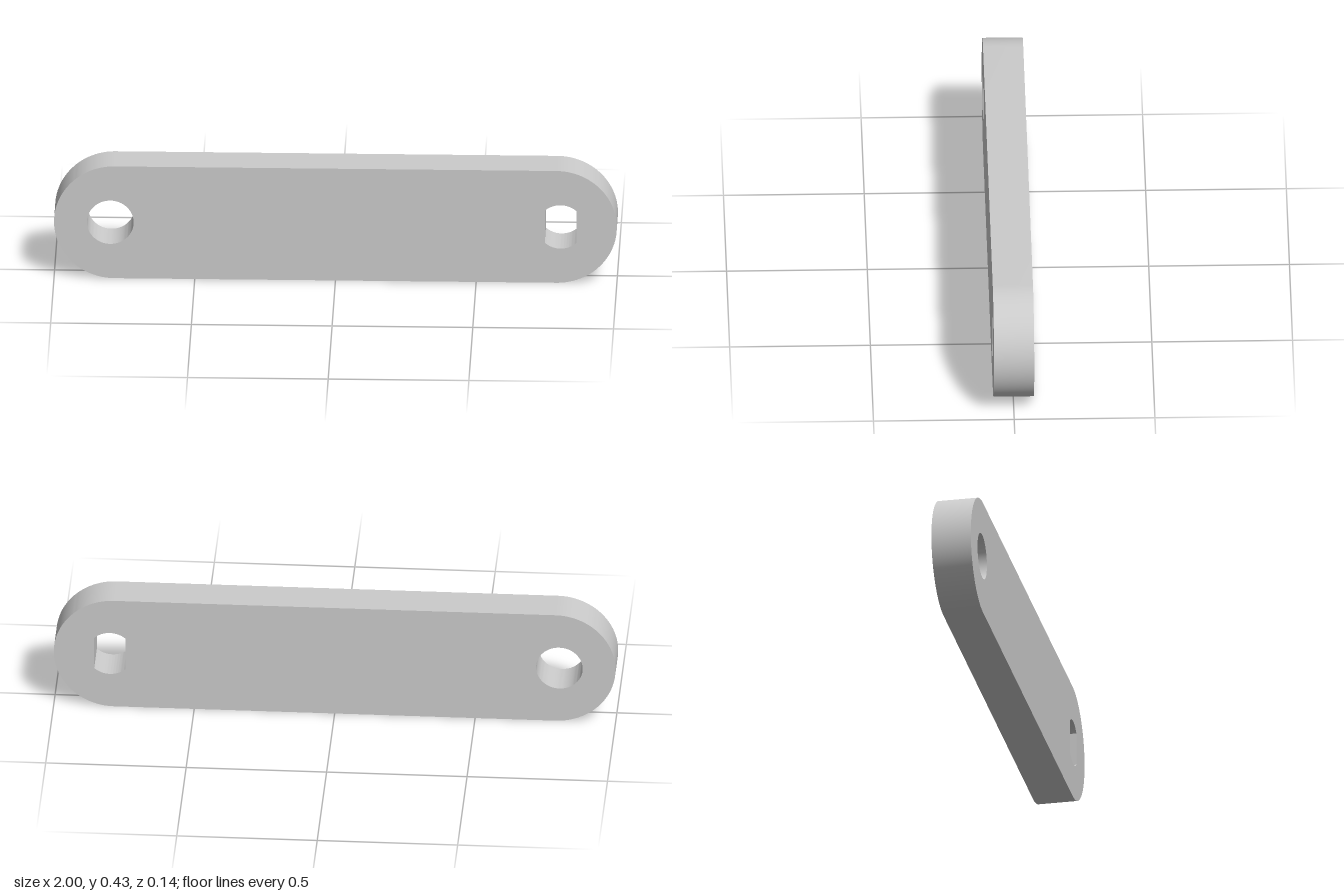
import * as THREE from 'three';
import { toCreasedNormals } from 'three/addons/utils/BufferGeometryUtils.js';

export function createModel() {
  const group = new THREE.Group();
  group.name = 'linkArm';

  const R = 0.2143, endX = 1 - R;          // rounded ends
  const holeX = 0.8, holeR = 0.083;        // both holes
  const flatX = 0.056;                     // half width between the slot's flats
  const depth = 0.143;

  // Bar outline with semicircular ends
  const outline = new THREE.Shape();
  outline.absarc(endX, R, R, -Math.PI / 2, Math.PI / 2, false);
  outline.absarc(-endX, R, R, Math.PI / 2, Math.PI * 1.5, false);
  outline.closePath();

  // Round pivot hole
  const pivotHole = new THREE.Path();
  pivotHole.absarc(-holeX, R, holeR, 0, Math.PI * 2, true);

  // Shaft hole with two flat sides
  const a = Math.acos(flatX / holeR);
  const shaftHole = new THREE.Path();
  shaftHole.absarc(holeX, R, holeR, a, Math.PI - a, false);
  shaftHole.absarc(holeX, R, holeR, Math.PI + a, Math.PI * 2 - a, false);
  shaftHole.closePath();

  outline.holes.push(pivotHole, shaftHole);

  const geometry = new THREE.ExtrudeGeometry(outline, { depth, bevelEnabled: false, curveSegments: 32 });
  geometry.translate(0, 0, -depth / 2);

  const arm = new THREE.Mesh(
    toCreasedNormals(geometry, Math.PI / 6),
    new THREE.MeshStandardMaterial({ color: 0xcccccc })
  );
  arm.name = 'arm';
  group.add(arm);
  return group;
}
